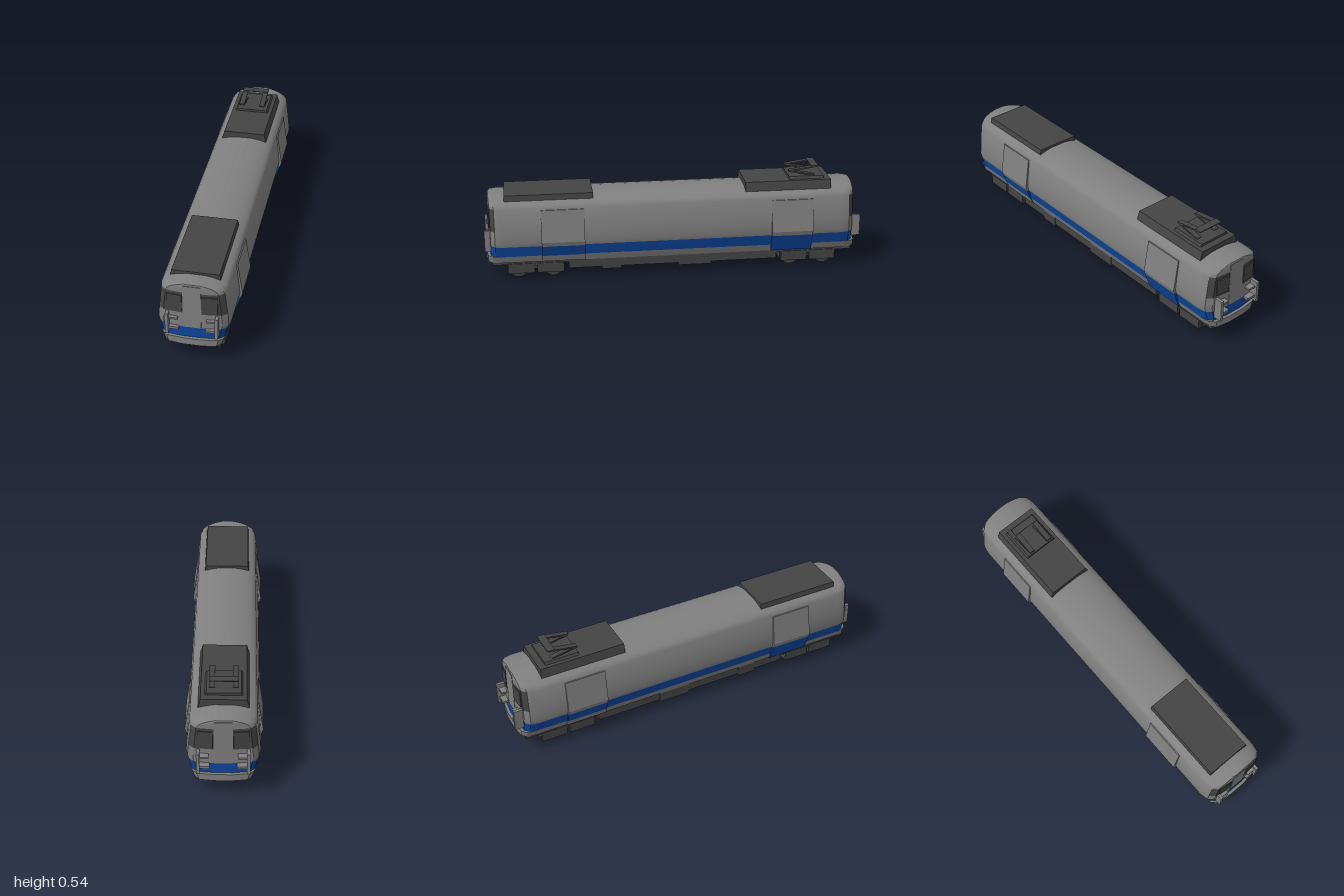
import * as THREE from 'three';
import { toCreasedNormals } from 'three/addons/utils/BufferGeometryUtils.js';

const mat = (name, color, side = THREE.FrontSide) => {
  const m = new THREE.MeshStandardMaterial({ color, side });
  m.name = name;
  return m;
};

export function createModel() {
  const grey = mat('body grey', 0x808080);
  const blue = mat('stripe blue', 0x0d47a1);
  const dark = mat('dark grey', 0x444444);
  const root = new THREE.Group();
  root.name = 'railcar';

  const add = (name, geo, material, parent = root) => {
    const m = new THREE.Mesh(geo, material);
    m.name = name;
    parent.add(m);
    return m;
  };
  // box given by its limits on each axis
  const box = (name, x0, x1, y0, y1, z0, z1, material, parent = root) => {
    const m = add(name, new THREE.BoxGeometry(x1 - x0, y1 - y0, z1 - z0), material, parent);
    m.position.set((x0 + x1) / 2, (y0 + y1) / 2, (z0 + z1) / 2);
    return m;
  };
  // box whose top is narrower across x
  const taperBox = (name, wBase, wTop, y0, y1, z0, z1) => {
    const m = box(name, -wBase, wBase, y0, y1, z0, z1, dark);
    const p = m.geometry.attributes.position;
    for (let i = 0; i < p.count; i++) if (p.getY(i) > 0) p.setX(i, p.getX(i) * wTop / wBase);
    m.geometry.computeVertexNormals();
  };

  // Body shell: stacked plan outlines [height, half width, half length, corner inset]
  const zMid = 0.0075;
  const levels = [
    [0.1, 0.145, 0.985, 1], [0.138, 0.158, 0.985, 1], [0.138, 0.158, 0.97, 1],
    [0.197, 0.174, 0.97, 1], [0.22, 0.18, 0.97, 1], [0.28, 0.175, 0.97, 1],
    [0.4, 0.161, 0.97, 1], [0.416, 0.15, 0.97, 0.9], [0.43, 0.125, 0.97, 0.75],
    [0.441, 0.085, 0.969, 0.45], [0.448, 0.045, 0.967, 0.2],
  ];
  const ring = ([y, w, e, k]) => {
    const q = [[Math.min(0.045, w * 0.5), e], [0.8 * w, e - 0.01 * k],
      [0.95 * w, e - 0.033 * k], [w, e - 0.075 * k]];
    const r = [...q].reverse();
    const place = (list, sx, sz) => list.map(([x, z]) => [x * sx, y, z * sz + zMid]);
    return [...place(q, 1, 1), ...place(r, 1, -1), ...place(q, -1, -1), ...place(r, -1, 1)];
  };
  const rings = levels.map(ring);
  const faces = [[], [], []]; // grey, blue, dark
  const glazed = [0, 1, 5, 6, 8, 9, 13, 14];
  for (let l = 0; l < rings.length - 1; l++) {
    const lo = rings[l], hi = rings[l + 1];
    for (let i = 0; i < 16; i++) {
      const j = (i + 1) % 16;
      const c = l === 2 ? 1 : l === 5 && glazed.includes(i) ? 2 : 0;
      faces[c].push(...lo[i], ...lo[j], ...hi[j], ...lo[i], ...hi[j], ...hi[i]);
    }
  }
  const top = rings[rings.length - 1], bottom = rings[0];
  for (let i = 1; i < 15; i++) {
    faces[0].push(...top[0], ...top[i], ...top[i + 1]);
    faces[2].push(...bottom[0], ...bottom[i + 1], ...bottom[i]);
  }
  const shell = new THREE.BufferGeometry();
  shell.setAttribute('position', new THREE.Float32BufferAttribute(faces.flat(), 3));
  let start = 0;
  faces.forEach((f, i) => {
    shell.addGroup(start, f.length / 3, i);
    start += f.length / 3;
  });
  add('bodyShell', toCreasedNormals(shell, 0.5), [grey, blue, dark]);

  // Sliding side doors, following the bulge of the body
  const doorBand = (pts, side, z0, z1, material, parent) => {
    const outline = [...pts, ...[...pts].reverse().map(([x, y]) => [x - 0.025, y])];
    const shape = new THREE.Shape(outline.map(([x, y]) => new THREE.Vector2(x * side, y)));
    const geo = new THREE.ExtrudeGeometry(shape, { depth: z1 - z0, bevelEnabled: false });
    geo.translate(0, 0, z0);
    add('doorPanel', geo, material, parent);
  };
  for (const side of [1, -1]) for (const [z0, z1, end] of [[0.48, 0.705, 1], [-0.73, -0.51, -1]]) {
    const door = new THREE.Group();
    door.name = 'sideDoor';
    root.add(door);
    doorBand([[0.153, 0.103], [0.165, 0.138]], side, z0, z1, side === end ? grey : blue, door);
    doorBand([[0.165, 0.138], [0.186, 0.197]], side, z0, z1, blue, door);
    doorBand([[0.186, 0.197], [0.193, 0.22], [0.168, 0.39]], side, z0, z1, grey, door);
  }

  // Cab ends: window panes, gangway door and grab handles, same at both ends
  for (const end of [1, -1]) {
    const cab = new THREE.Group();
    cab.name = end > 0 ? 'frontCab' : 'rearCab';
    cab.position.z = zMid;
    if (end < 0) cab.rotation.y = Math.PI;
    root.add(cab);
    const reach = end > 0 ? 0.992 : 1.007;
    box('gangwayDoor', -0.044, 0.044, 0.197, 0.44, 0.966, 0.972, grey, cab);
    for (const s of [1, -1]) {
      const pane = box('windowPane', s * 0.086 - 0.037, s * 0.086 + 0.037, 0.292, 0.384, 0.962, 0.97, dark, cab);
      pane.rotation.y = s * 0.11;
      const bar = (name, a, b, y0, y1, z1) =>
        box(name, Math.min(s * a, s * b), Math.max(s * a, s * b), y0, y1, 0.95, z1, grey, cab);
      bar('handlePost', 0.113, 0.129, 0.16, 0.277, reach);
      bar('lowerStep', 0.065, 0.114, 0.184, 0.197, reach - 0.01);
      bar('upperStep', 0.07, 0.114, 0.243, 0.253, reach - 0.01);
    }
  }

  // Roof equipment
  taperBox('frontRoofPod', 0.124, 0.117, 0.42, 0.46, 0.43, 0.89);
  taperBox('rearRoofPod', 0.126, 0.111, 0.42, 0.478, -0.835, -0.375);
  taperBox('pantographBase', 0.092, 0.083, 0.477, 0.491, -0.8, -0.615);

  // Pantograph: folded arms in a sideways V with a collector on top
  const arm = (x, y0, z0, y1, z1) => {
    const len = Math.hypot(y1 - y0, z1 - z0);
    const m = add('pantographArm', new THREE.BoxGeometry(0.028, 0.008, len), dark);
    m.position.set(x, (y0 + y1) / 2, (z0 + z1) / 2);
    m.rotation.x = -Math.atan2(y1 - y0, z1 - z0);
  };
  for (const x of [-0.057, 0.057]) {
    arm(x, 0.49, -0.755, 0.517, -0.615);
    arm(x, 0.517, -0.615, 0.539, -0.765);
  }
  box('collectorHead', -0.071, 0.071, 0.539, 0.543, -0.775, -0.735, dark);

  // Bogies with side frames, end beams, axles and wheels
  for (const zc of [0.738, -0.717]) {
    const bogie = new THREE.Group();
    bogie.name = 'bogie';
    bogie.position.z = zc;
    root.add(bogie);
    box('bolster', -0.12, 0.12, 0.05, 0.1, -0.06, 0.06, dark, bogie);
    box('sideRail', -0.138, 0.138, 0.075, 0.085, -0.14, 0.14, dark, bogie);
    for (const e of [1, -1]) {
      box('endBeam', -0.12, 0.12, 0.034, 0.086, e * 0.141 - 0.008, e * 0.141 + 0.008, dark, bogie);
      const axle = add('axle', new THREE.CylinderGeometry(0.015, 0.015, 0.17, 12), dark, bogie);
      axle.rotation.z = Math.PI / 2;
      axle.position.set(0, 0.047, e * 0.091);
      for (const s of [1, -1]) {
        const wheel = add('wheel', new THREE.CylinderGeometry(0.047, 0.047, 0.022, 24), dark, bogie);
        wheel.rotation.z = Math.PI / 2;
        wheel.position.set(s * 0.089, 0.047, e * 0.091);
        box('sideFrame', s * 0.13 - 0.011, s * 0.13 + 0.011, 0.036, 0.09,
          e * 0.077 - 0.07, e * 0.077 + 0.07, dark, bogie);
      }
    }
  }

  // Underfloor equipment between the bogies
  box('underframe', -0.136, 0.136, 0.085, 0.102, -0.95, 0.965, dark);
  box('equipmentCase', -0.138, 0.138, 0.052, 0.1, -0.545, 0.565, dark);
  box('frontBatteryBox', -0.141, 0.141, 0.04, 0.1, 0.29, 0.39, dark);
  box('middleMachineBox', -0.141, 0.141, 0.04, 0.1, -0.19, -0.015, dark);
  return root;
}
